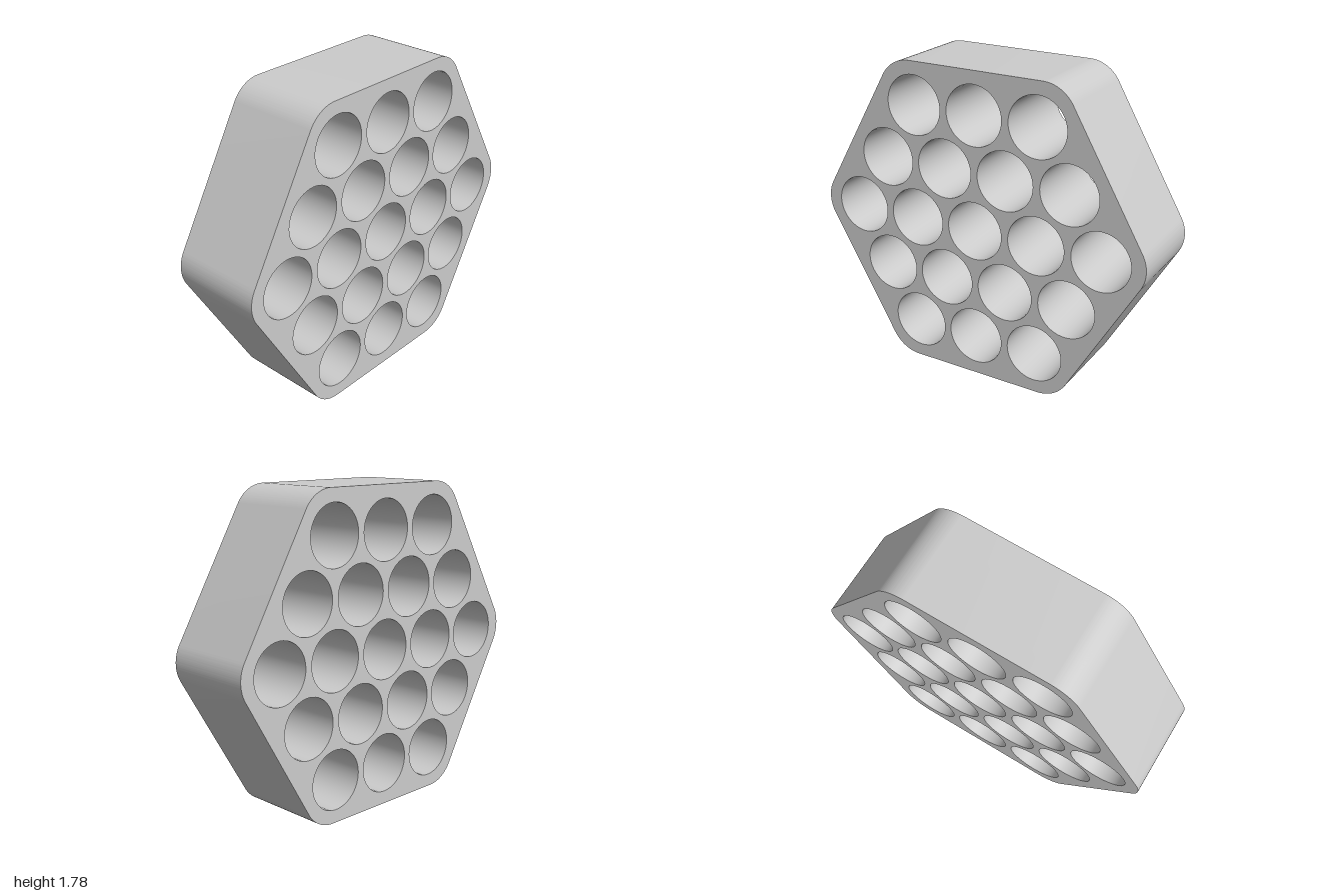
import * as THREE from 'three';
import { toCreasedNormals } from 'three/addons/utils/BufferGeometryUtils.js';

const APOTHEM = 0.8925;     // centre to flat side
const CORNER = 0.198;       // corner rounding
const DEPTH = 0.53;
const PITCH = 0.376;        // hole spacing
const HOLE = 0.168;         // hole radius
const RINGS = 2;            // rings of holes around the middle one

// Hexagon with rounded corners, points on the left and right
function roundedHexagon() {
  const shape = new THREE.Shape();
  const reach = (APOTHEM - CORNER) / Math.cos(Math.PI / 6);
  for (let i = 0; i < 6; i++) {
    const a = (i * Math.PI) / 3;
    shape.absarc(reach * Math.cos(a), reach * Math.sin(a), CORNER,
      a - Math.PI / 6, a + Math.PI / 6, false);
  }
  shape.closePath();
  return shape;
}

// Round holes in a hexagonal pattern
function addHoles(shape) {
  for (let row = -RINGS; row <= RINGS; row++) {
    const count = 2 * RINGS + 1 - Math.abs(row);
    for (let i = 0; i < count; i++) {
      const x = (i - (count - 1) / 2) * PITCH;
      const y = row * PITCH * Math.sin(Math.PI / 3);
      shape.holes.push(new THREE.Path().absarc(x, y, HOLE, 0, Math.PI * 2, true));
    }
  }
}

export function createModel() {
  const group = new THREE.Group();
  group.name = 'hexagonalHolder';

  // Block with through holes
  const shape = roundedHexagon();
  addHoles(shape);
  const geometry = new THREE.ExtrudeGeometry(shape, {
    depth: DEPTH, bevelEnabled: false, curveSegments: 24,
  });
  geometry.translate(0, APOTHEM, -DEPTH / 2);

  const block = new THREE.Mesh(
    toCreasedNormals(geometry, 0.6),
    new THREE.MeshStandardMaterial({ color: 0xcccccc }),
  );
  block.name = 'perforatedBlock';
  group.add(block);
  return group;
}
